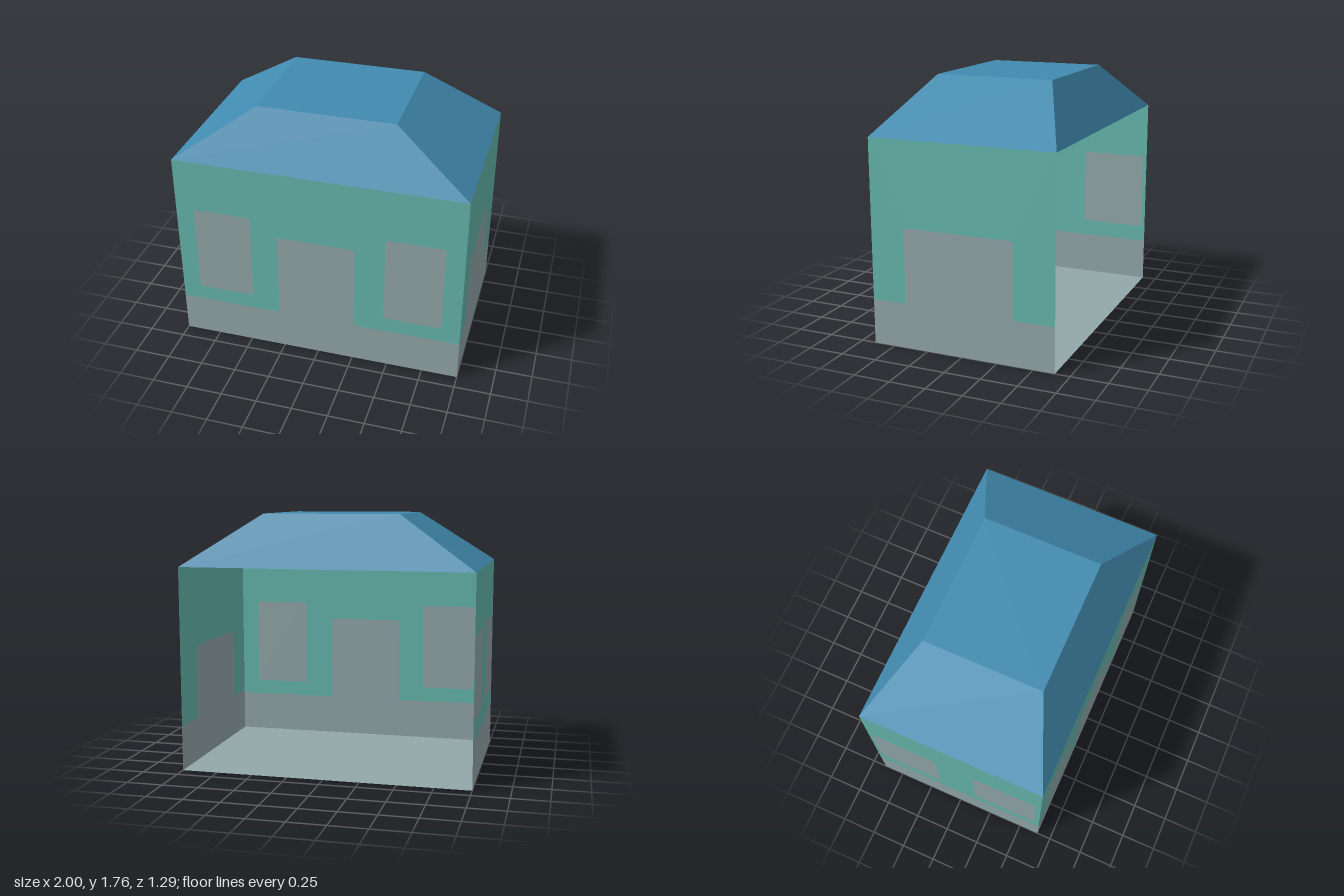
import * as THREE from 'three';

const W = 1, D = 0.647, EAVE = 1.41, TOP = 1.765, R = 0.02;

const material = (name, color) => {
  const m = new THREE.MeshStandardMaterial({ color, side: THREE.DoubleSide });
  m.name = name;
  return m;
};

// Rectangle with slightly rounded corners
function roundedRect([x0, x1, y0, y1], Type = THREE.Shape) {
  const p = new Type();
  p.moveTo(x0 + R, y0);
  p.lineTo(x1 - R, y0);
  p.quadraticCurveTo(x1, y0, x1, y0 + R);
  p.lineTo(x1, y1 - R);
  p.quadraticCurveTo(x1, y1, x1 - R, y1);
  p.lineTo(x0 + R, y1);
  p.quadraticCurveTo(x0, y1, x0, y1 - R);
  p.lineTo(x0, y0 + R);
  p.quadraticCurveTo(x0, y0, x0 + R, y0);
  return p;
}

// Area between a horizontal edge and the top line of the base band and door
function bandShape(half, edgeY, band, door) {
  const s = new THREE.Shape();
  s.moveTo(-half, edgeY);
  s.lineTo(-half, band);
  if (door) {
    const [x0, x1, top] = door;
    s.lineTo(x0, band);
    s.lineTo(x0, top - R);
    s.quadraticCurveTo(x0, top, x0 + R, top);
    s.lineTo(x1 - R, top);
    s.quadraticCurveTo(x1, top, x1, top - R);
    s.lineTo(x1, band);
  }
  s.lineTo(half, band);
  s.lineTo(half, edgeY);
  s.closePath();
  return s;
}

export function createModel() {
  const model = new THREE.Group();
  model.name = 'house';
  const teal = material('teal wall', 0x65b8ae);
  const grey = material('grey', 0x93a8aa);
  const blue = material('blue roof', 0x418bb0);

  const add = (parent, name, geometry, mat) => {
    const mesh = new THREE.Mesh(geometry, mat);
    mesh.name = name;
    parent.add(mesh);
    return mesh;
  };

  // Thin wall: teal above, grey base with door, grey window panels set flush
  function addWall(name, half, band, door, windows) {
    const wall = new THREE.Group();
    wall.name = name;
    const upper = bandShape(half, EAVE, band, door);
    windows.forEach((w) => upper.holes.push(roundedRect(w, THREE.Path)));
    add(wall, 'wallPanel', new THREE.ShapeGeometry(upper, 6), teal);
    add(wall, door ? 'baseAndDoor' : 'base', new THREE.ShapeGeometry(bandShape(half, 0, band, door), 6), grey);
    windows.forEach((w) => add(wall, 'window', new THREE.ShapeGeometry(roundedRect(w), 6), grey));
    model.add(wall);
    return wall;
  }

  addWall('frontWall', W, 0.29, [-0.28, 0.26, 0.92],
    [[-0.87, -0.47, 0.4, 1.04], [0.47, 0.87, 0.4, 1.04]]).position.z = D;

  const left = addWall('leftWall', D, 0.31, [-0.405, 0.36, 0.83], []);
  left.rotation.y = Math.PI / 2;
  left.position.x = W;

  const right = addWall('rightWall', D, 0.31, null,
    [[-0.62, -0.14, 0.43, 1.0], [0.14, 0.61, 0.43, 1.0]]);
  right.rotation.y = -Math.PI / 2;
  right.position.x = -W;

  // Floor; the back of the house stays open
  add(model, 'floor', new THREE.PlaneGeometry(2 * W, 2 * D).rotateX(-Math.PI / 2), grey);

  // Hollow hipped roof with a flat top
  const ring = (x, y, z) => [[-x, y, z], [x, y, z], [x, y, -z], [-x, y, -z]];
  const eave = ring(W, EAVE, D), top = ring(0.47, TOP, 0.412);
  const points = [];
  const quad = (a, b, c, d) => points.push(...a, ...b, ...c, ...a, ...c, ...d);
  for (let i = 0; i < 4; i++) {
    const j = (i + 1) % 4;
    quad(eave[i], eave[j], top[j], top[i]);
  }
  quad(...top);
  const roof = new THREE.BufferGeometry();
  roof.setAttribute('position', new THREE.Float32BufferAttribute(points, 3));
  roof.computeVertexNormals();
  add(model, 'roof', roof, blue);

  return model;
}
